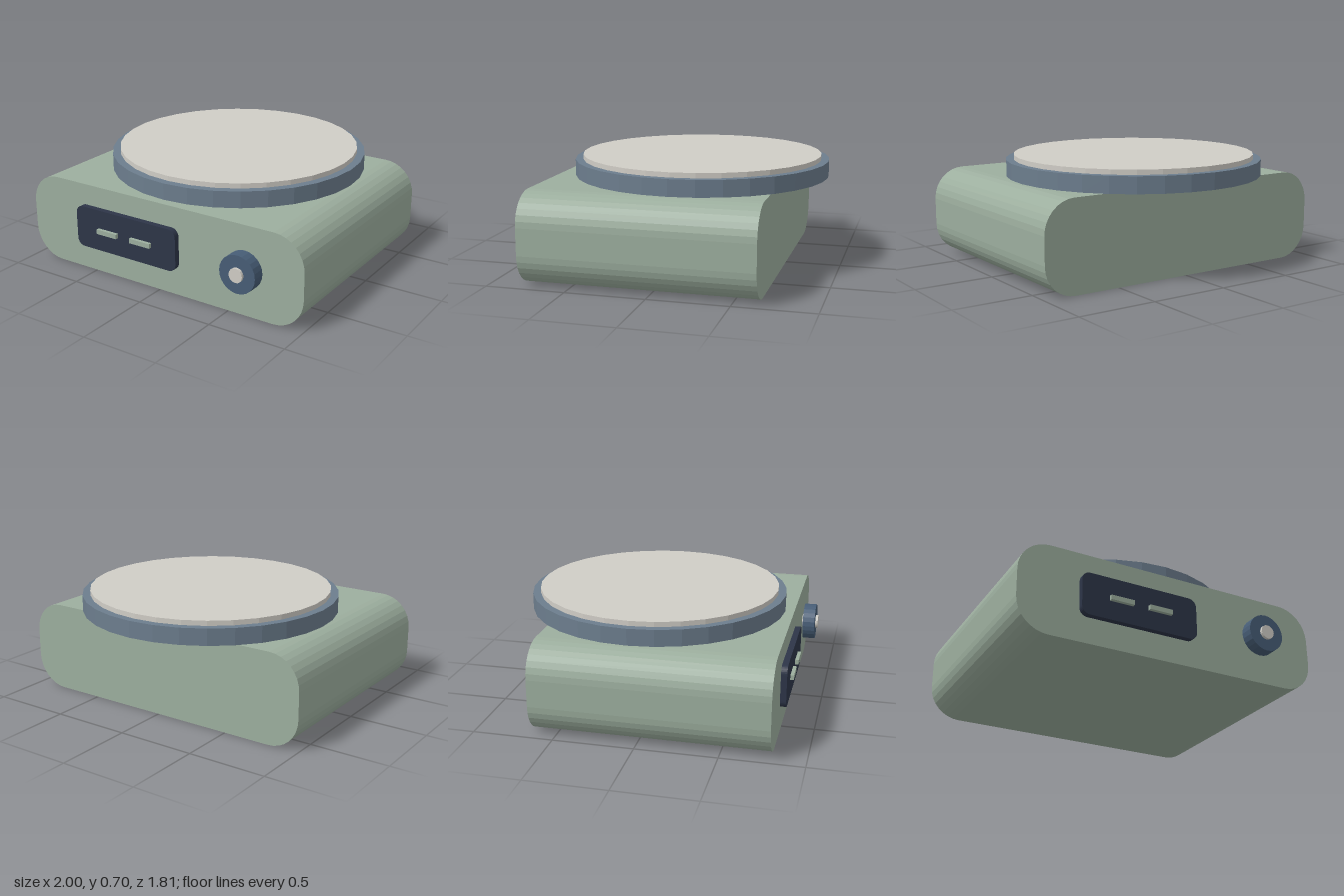
import * as THREE from 'three';

const paint = (name, color) => {
  const m = new THREE.MeshStandardMaterial({ color, flatShading: true });
  m.name = name;
  return m;
};

// Rounded rectangle between two corners, extruded from z0 to z1
function roundedSlab(x0, x1, y0, y1, r, z0, z1) {
  const s = new THREE.Shape();
  s.absarc(x1 - r, y0 + r, r, -Math.PI / 2, 0);
  s.absarc(x1 - r, y1 - r, r, 0, Math.PI / 2);
  s.absarc(x0 + r, y1 - r, r, Math.PI / 2, Math.PI);
  s.absarc(x0 + r, y0 + r, r, Math.PI, Math.PI * 1.5);
  s.closePath();
  return new THREE.ExtrudeGeometry(s, { depth: z1 - z0, bevelEnabled: false, curveSegments: 4 })
    .translate(0, 0, z0);
}

// Upright disc from y0 to y1
const disc = (r, y0, y1, z) =>
  new THREE.CylinderGeometry(r, r, y1 - y0, 32).translate(0, (y0 + y1) / 2, z);

// Forward-facing disc from z0 to z1
const dial = (r, sides, z0, z1, x, y) =>
  new THREE.CylinderGeometry(r, r, z1 - z0, sides).rotateX(Math.PI / 2).translate(x, y, (z0 + z1) / 2);

export function createModel() {
  const group = new THREE.Group();
  const sage = paint('sage green', 0x9cae9e);
  const slate = paint('slate blue', 0x6c7d8d);
  const stone = paint('warm stone', 0xd0cdc6);
  const navy = paint('dark navy', 0x2d3548);
  const blue = paint('knob blue', 0x475d76);

  const add = (name, geometry, material) => {
    const mesh = new THREE.Mesh(geometry, material);
    mesh.name = name;
    group.add(mesh);
  };

  // Housing
  add('body', roundedSlab(-1, 1, 0, 0.57, 0.2, -0.648, 0.797), sage);

  // Round platform with its inset plate, overhanging the back
  add('platformRim', disc(0.823, 0.57, 0.674, -0.083), slate);
  add('platformPlate', disc(0.773, 0.674, 0.705, -0.083), stone);

  // Display panel with two raised bars
  add('displayPanel', roundedSlab(-0.615, 0.147, 0.165, 0.435, 0.05, 0.797, 0.834), navy);
  for (const x of [-0.363, -0.107]) {
    add('displayBar', new THREE.BoxGeometry(0.152, 0.03, 0.03).translate(x, 0.3, 0.841), sage);
  }

  // Control knob on its pin
  add('knob', dial(0.12, 24, 0.808, 0.888, 0.617, 0.3), blue);
  add('knobPin', dial(0.045, 16, 0.797, 0.905, 0.617, 0.3), stone);

  return group;
}
